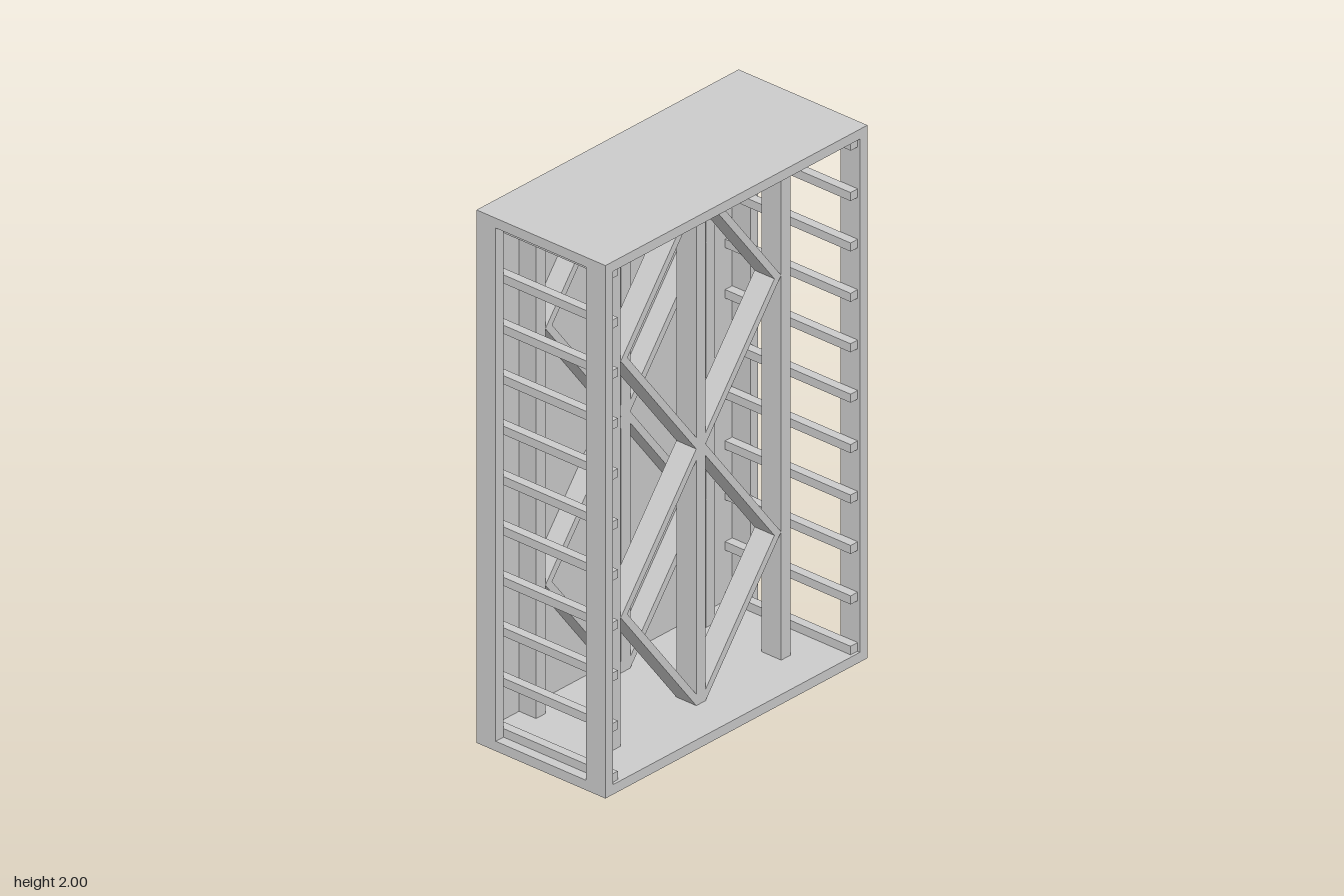
import * as THREE from 'three';

const material = new THREE.MeshStandardMaterial({ color: 0xcccccc, flatShading: true });

const W = 0.645, D = 0.285, T = 0.037, H = 2; // half width, half depth, board thickness, height

// Box given by its minimum and maximum corners
function box(parent, name, x0, x1, y0, y1, z0, z1) {
  const mesh = new THREE.Mesh(new THREE.BoxGeometry(x1 - x0, y1 - y0, z1 - z0), material);
  mesh.position.set((x0 + x1) / 2, (y0 + y1) / 2, (z0 + z1) / 2);
  mesh.name = name;
  parent.add(mesh);
  return mesh;
}

// Extruded outline standing in the xy plane between z0 and z1
function slab(points, z0, z1, name) {
  const shape = new THREE.Shape(points.map(([x, y]) => new THREE.Vector2(x, y)));
  const geometry = new THREE.ExtrudeGeometry(shape, { depth: z1 - z0, bevelEnabled: false });
  geometry.translate(0, 0, z0);
  const mesh = new THREE.Mesh(geometry, material);
  mesh.name = name;
  return mesh;
}

// Three uprights joined by mirrored zigzag braces
function lattice(name, z0, z1) {
  const group = new THREE.Group();
  group.name = name;
  const inner = 0.023, outer = 0.395, v = 0.043;
  for (const x of [-0.418, 0, 0.418]) {
    box(group, 'upright', x - 0.023, x + 0.023, T, H - T, z0, z1);
  }
  const quarter = (H - 2 * T) / 4;
  const dx = v * (outer - inner) / quarter;
  for (const side of [-1, 1]) {
    for (let i = 0; i < 2; i++) {
      const low = T + i * 2 * quarter, mid = low + quarter, high = mid + quarter;
      const outline = [
        [inner, low], [outer, mid], [inner, high],
        [inner, high - v], [outer - dx, mid], [inner, low + v],
      ].map(([x, y]) => [side * x, y]);
      group.add(slab(outline, z0, z1, 'zigzagBrace'));
    }
  }
  return group;
}

// Open side frame with a ladder of rungs on its inner face
function sideLadder(side) {
  const group = new THREE.Group();
  group.name = side > 0 ? 'leftSide' : 'rightSide';
  const span = (a, b) => (side > 0 ? [a, b] : [-b, -a]);
  const frame = span(W - T, W), rung = span(0.573, W - T);
  box(group, 'frontStile', ...frame, T, H - T, 0.2, D);
  box(group, 'backStile', ...frame, T, H - T, -D, -0.2);
  for (let i = 0; i < 11; i++) {
    const y = 0.054 + i * 0.1892;
    box(group, 'rung', ...rung, y - 0.016, y + 0.016, -0.28, 0.275);
  }
  return group;
}

export function createModel() {
  const model = new THREE.Group();
  model.name = 'rack';

  // Outer case
  box(model, 'base', -W, W, 0, T, -D, D);
  box(model, 'top', -W, W, H - T, H, -D, D);
  box(model, 'backPanel', -W + T, W - T, T, H - T, -D, -0.28);

  // Side frames
  model.add(sideLadder(1), sideLadder(-1));

  // Inner lattices
  model.add(lattice('frontLattice', 0.04, 0.128));
  model.add(lattice('backLattice', -0.28, -0.205));
  return model;
}
